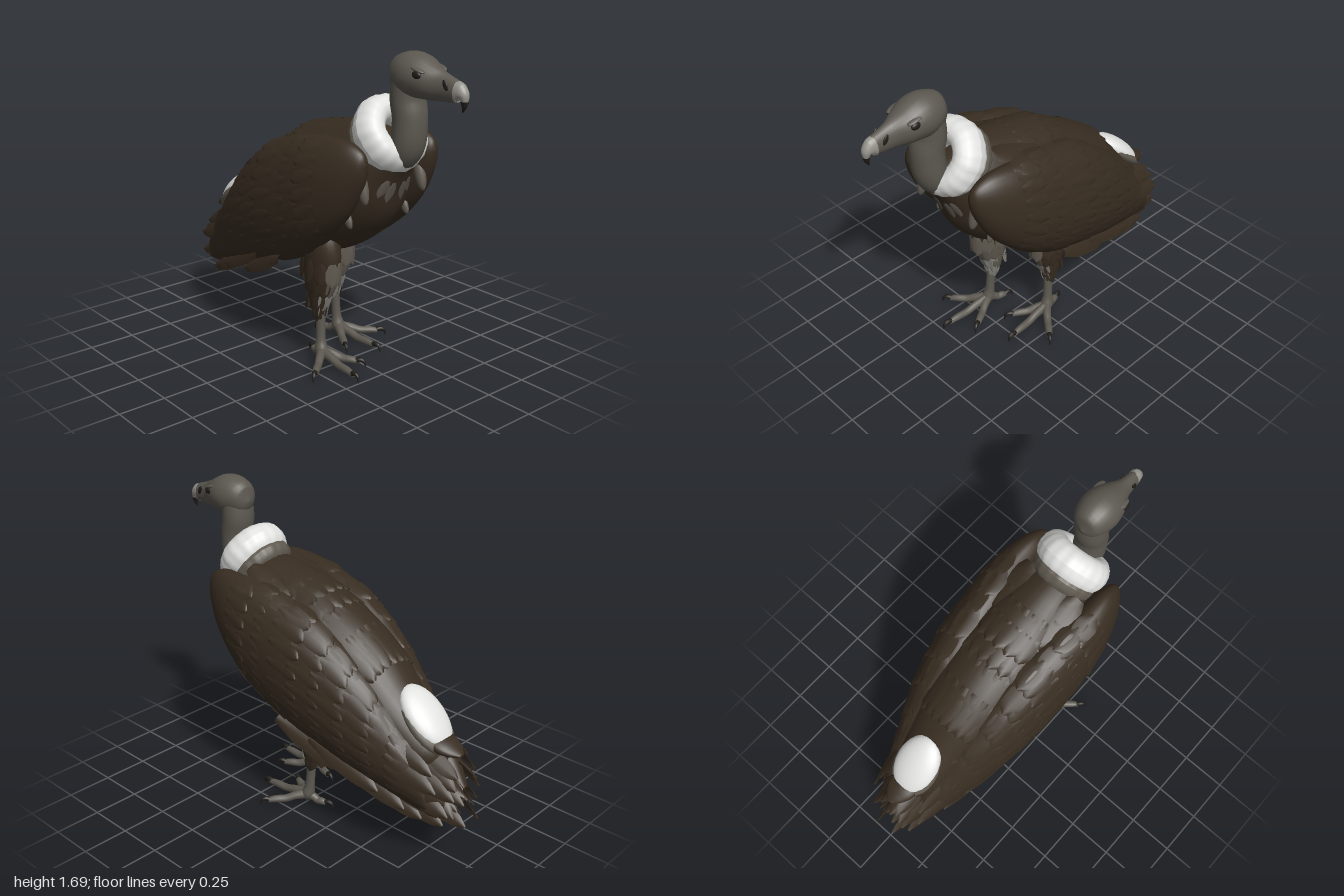
import * as THREE from 'three';
import { mergeGeometries } from 'three/addons/utils/BufferGeometryUtils.js';

const V = (x, y, z) => new THREE.Vector3(x, y, z);
const mat = (name, color) => new THREE.MeshStandardMaterial({ name, color, side: THREE.DoubleSide });
const X = V(1, 0, 0), Y = V(0, 1, 0);

// Smooth interpolation through stations [x, y, z, radiusS, radiusN]
function sample(st, u) {
  const n = st.length - 1, f = THREE.MathUtils.clamp(u, 0, 1) * n;
  const i = Math.min(Math.floor(f), n - 1), t = f - i;
  const [a, b, c, d] = [st[Math.max(i - 1, 0)], st[i], st[i + 1], st[Math.min(i + 2, n)]];
  return b.map((p, k) => p + 0.5 * t * (c[k] - a[k] + t * (2 * a[k] - 5 * p + 4 * c[k] - d[k] + t * (3 * (p - c[k]) + d[k] - a[k]))));
}

// Point on the skin of a lofted part; fixedT keeps all sections parallel
function skin(st, u, ang, { ref = X, fixedT } = {}) {
  const c = sample(st, u), a = sample(st, u - 0.01), b = sample(st, u + 0.01);
  const T = fixedT || V(b[0] - a[0], b[1] - a[1], b[2] - a[2]).normalize();
  const S = ref.clone().addScaledVector(T, -ref.dot(T)).normalize();
  const N = T.clone().cross(S);
  return V(c[0], c[1], c[2])
    .addScaledVector(S, Math.cos(ang) * Math.max(c[3], 0.001))
    .addScaledVector(N, Math.sin(ang) * Math.max(c[4], 0.001));
}

function loft(st, opts = {}, rows = 24, seg = 24) {
  const pos = [], idx = [];
  for (let i = 0; i <= rows; i++)
    for (let j = 0; j < seg; j++) pos.push(...skin(st, i / rows, (j / seg) * Math.PI * 2, opts).toArray());
  for (let i = 0; i < rows; i++)
    for (let j = 0; j < seg; j++) {
      const k = (j + 1) % seg, a = i * seg + j, b = i * seg + k;
      idx.push(a, b, a + seg, b, b + seg, a + seg);
    }
  const g = new THREE.BufferGeometry();
  g.setAttribute('position', new THREE.Float32BufferAttribute(pos, 3));
  g.setIndex(idx);
  g.computeVertexNormals();
  return g;
}

// Slightly arched, round-tipped blade lying between base and tip
function feather(base, tip, width, normal) {
  const g = new THREE.PlaneGeometry(1, 1, 4, 9).rotateX(-Math.PI / 2);
  const p = g.attributes.position;
  for (let i = 0; i < p.count; i++) {
    const t = 0.5 - p.getZ(i), x = p.getX(i);
    const w = Math.min(1, 0.45 + t * 1.6) * (1 - 0.85 * t ** 7);
    p.setXYZ(i, -x * w, -0.4 * x * x, t);
  }
  const d = tip.clone().sub(base), len = d.length(), z = d.normalize();
  const x = normal.clone().cross(z).normalize(), y = z.clone().cross(x);
  g.applyMatrix4(new THREE.Matrix4().makeBasis(x.multiplyScalar(width), y.multiplyScalar(width), z.multiplyScalar(len)).setPosition(base));
  g.computeVertexNormals();
  return g;
}

// Feather resting on a lofted part
function featherOn(st, u, ang, len, width, lift, opts) {
  const p = skin(st, u, ang, opts);
  const dir = skin(st, u + 0.02, ang, opts).sub(p).normalize();
  const n = skin(st, u, ang + 0.03, opts).sub(p).cross(dir).normalize();
  p.addScaledVector(n, 0.003);
  return feather(p, p.clone().addScaledVector(dir, len).addScaledVector(n, lift), width, n);
}

export function createModel() {
  const brown = mat('brown plumage', 0x382d21), grey = mat('grey skin', 0x5c5850), white = mat('white down', 0xe2e2e0);
  const pale = mat('pale grey feathers', 0x85827c), mid = mat('dull grey feathers', 0x5f594f);
  const dark = mat('dark horn', 0x211d19), horn = mat('pale horn', 0x95938b);
  const model = new THREE.Group();
  const add = (name, geo, m) => {
    const mesh = new THREE.Mesh(geo, m);
    mesh.name = name;
    model.add(mesh);
    return mesh;
  };
  const blob = (name, m, c, r, rx = 0) => {
    const mesh = add(name, new THREE.SphereGeometry(1, 24, 16), m);
    mesh.position.set(...c);
    mesh.scale.set(...r);
    mesh.rotation.x = rx;
  };

  // Body, with rows of feathers down the back and grey ones on the breast
  const body = [[0, 1.2, 0.6, 0.09, 0.08], [0, 1.14, 0.45, 0.19, 0.22], [0, 1.02, 0.26, 0.25, 0.315], [0, 0.91, 0.03, 0.28, 0.335],
    [0, 0.81, -0.25, 0.26, 0.29], [0, 0.69, -0.5, 0.2, 0.19], [0, 0.56, -0.75, 0.12, 0.09], [0, 0.53, -0.82, 0.001, 0.001]];
  add('body', loft(body, {}, 32, 32), brown);
  const back = [];
  for (let r = 0; r < 5; r++)
    for (let k = -3; k <= 3; k++)
      back.push(featherOn(body, 0.24 + r * 0.075, -Math.PI / 2 + (k + (r % 2) * 0.5) * 0.24, 0.25, 0.14, -0.016));
  add('backFeathers', mergeGeometries(back), brown);
  add('breastFeathers', mergeGeometries([-0.55, -0.25, 0.25, 0.55].map((a) =>
    featherOn(body, 0.06, Math.PI / 2 + a, 0.13 - Math.abs(a) * 0.05, 0.05, 0.004))), mid);

  // Neck, head and beak
  add('neck', loft([[0, 1.13, 0.56, 0.06, 0.05], [0, 1.24, 0.635, 0.085, 0.08], [0, 1.38, 0.65, 0.086, 0.083],
    [0, 1.48, 0.635, 0.09, 0.083], [0, 1.6, 0.645, 0.09, 0.08]]), grey);
  add('head', loft([[0, 1.58, 0.545, 0.001, 0.001], [0, 1.58, 0.57, 0.065, 0.075], [0, 1.59, 0.63, 0.098, 0.103], [0, 1.592, 0.7, 0.106, 0.107],
    [0, 1.575, 0.78, 0.085, 0.088], [0, 1.562, 0.85, 0.047, 0.07], [0, 1.553, 0.93, 0.034, 0.053], [0, 1.55, 0.955, 0.031, 0.046]]), grey);
  add('beak', loft([[0, 1.552, 0.94, 0.035, 0.051], [0, 1.55, 0.96, 0.032, 0.044], [0, 1.537, 0.98, 0.026, 0.026],
    [0, 1.505, 0.987, 0.014, 0.013]]), horn);
  add('beakHook', loft([[0, 1.515, 0.985, 0.02, 0.018], [0, 1.49, 0.984, 0.012, 0.012], [0, 1.462, 0.975, 0.001, 0.001]], {}, 8, 12), dark);

  // Downy ruff around the neck base, with a dull band behind it
  const ruff = (name, m, y, z, R, r, depth) => {
    const g = new THREE.TorusGeometry(R, r, 16, 80), p = g.attributes.position;
    for (let i = 0; i < p.count; i++) {
      const a = Math.atan2(p.getY(i), p.getX(i)), k = 1 + 0.009 * Math.sin(a * 19) + 0.01 * Math.sin(a * 7);
      p.setXYZ(i, p.getX(i) * k, p.getY(i) * k, p.getZ(i) * depth);
    }
    g.computeVertexNormals();
    const mesh = add(name, g, m);
    mesh.position.set(0, y, z);
    mesh.rotation.x = -0.58;
  };
  ruff('ruff', white, 1.288, 0.52, 0.126, 0.072, 1.25);
  ruff('ruffBand', mid, 1.24, 0.45, 0.112, 0.064, 1);

  // White rump patch and tail fan
  blob('rump', white, [0, 0.747, -0.69], [0.12, 0.064, 0.185], -0.75);
  blob('rumpRim', mid, [0, 0.724, -0.7], [0.128, 0.05, 0.19], -0.75);
  add('tailCoverts', loft([[0, 0.69, -0.66, 0.08, 0.04], [0, 0.645, -0.8, 0.085, 0.04], [0, 0.625, -0.87, 0.06, 0.026], [0, 0.615, -0.915, 0.02, 0.008]]), brown);
  const tail = [];
  for (let i = -3; i <= 3; i++) {
    const a = Math.abs(i);
    if (a > 1) tail.push(feather(V(0.03 * i, 0.7 - 0.025 * a, -0.62), V(0.03 * i, 0.62 - 0.05 * a, -0.91 - 0.015 * a), 0.09, V(i * 0.4, 1, -0.3)));
    tail.push(feather(V(0.03 * i, 0.58, -0.6), V(0.03 * i, 0.4 - 0.03 * a, -0.95), 0.09, V(i * 0.3, 1, 0)));
    tail.push(feather(V(0.02 * i, 0.5, -0.45), V(0.025 * i, 0.235 + 0.02 * a, -0.87), 0.1, V(i * 0.2, 1, 0)));
  }
  add('tailFeathers', mergeGeometries(tail), brown);

  for (const s of [1, -1]) {
    const side = s > 0 ? 'left' : 'right';

    // Face details
    blob(side + 'Eye', dark, [s * 0.086, 1.612, 0.768], [0.012, 0.018, 0.026]);
    blob(side + 'Brow', grey, [s * 0.072, 1.634, 0.76], [0.02, 0.01, 0.045], 0.25);
    blob(side + 'Nostril', dark, [s * 0.037, 1.578, 0.9], [0.006, 0.026, 0.013], -0.5);

    // Folded wing from [z, top, bottom, outer x, inner x]
    const wing = [[0.6, 1.181, 1.179, 0.231, 0.229], [0.575, 1.24, 1.07, 0.275, 0.19], [0.48, 1.28, 0.9, 0.33, 0.15], [0.33, 1.275, 0.75, 0.37, 0.12],
      [0.13, 1.245, 0.61, 0.38, 0.07], [-0.1, 1.17, 0.52, 0.372, 0.04], [-0.35, 1.0, 0.44, 0.33, 0.03], [-0.6, 0.75, 0.36, 0.25, 0.03],
      [-0.78, 0.55, 0.31, 0.18, 0.03], [-0.9, 0.4, 0.32, 0.1, 0.04]]
      .map(([z, t, b, o, i]) => [s * (o + i) / 2, (t + b) / 2, z, (o - i) / 2, (t - b) / 2]);
    const opts = { fixedT: V(0, 0, -1) };
    add(side + 'Wing', loft(wing, opts, 45, 32), brown);
    const coverts = [];
    for (let r = 0; r < 9; r++)
      for (let k = 0; k < 9; k++) {
        const a = -1.35 + (k + (r % 2) * 0.5) * 0.34;
        coverts.push(featherOn(wing, 0.31 + r * 0.06, s > 0 ? -a : Math.PI + a, 0.16 + r * 0.012, 0.115, -0.006, opts));
      }
    add(side + 'WingCoverts', mergeGeometries(coverts), brown);

    // Shoulder feathers bridging the back and the wing
    const bridge = [[1.325, 0.37], [1.285, 0.22], [1.235, 0.06], [1.16, -0.1], [1.07, -0.24], [0.96, -0.38], [0.8, -0.58]];
    add(side + 'ShoulderFeathers', mergeGeometries(bridge.slice(0, -2).map(([y, z], i) =>
      feather(V(s * 0.15, y - 0.015, z), V(s * 0.14, bridge[i + 2][0] - 0.01, bridge[i + 2][1]), 0.2, V(s * 0.3, 1, -0.3)))), brown);

    // Long flight feathers ending in a ragged tip
    const tips = [[0.06, 0.27, -1], [0.13, 0.33, -0.94], [0.04, 0.37, -0.97], [0.11, 0.42, -0.96], [0.08, 0.23, -0.88], [0.15, 0.27, -0.8],
      [0.17, 0.46, -0.89], [0.15, 0.54, -0.85], [0.19, 0.31, -0.72], [0.23, 0.37, -0.58], [0.25, 0.41, -0.36]];
    add(side + 'FlightFeathers', mergeGeometries(tips.map(([x, y, z]) =>
      feather(V(s * (x + 0.07), y + 0.18, z + 0.4), V(s * x, y, z), 0.1, V(s * 0.85, 0.45, -0.1)))), brown);
    blob(side + 'ShoulderTuft', mid, [s * 0.192, 1.065, 0.535], [0.028, 0.095, 0.03], -0.3);
    blob(side + 'BreastTuft', mid, [s * 0.19, 0.88, 0.428], [0.018, 0.06, 0.025], -0.5);

    // Thigh: grey in front and inside, brown outside
    const z0 = s > 0 ? -0.02 : 0.17, x0 = s * 0.13;
    const thigh = [[x0, 0.8, z0, 0.03, 0.04], [x0, 0.69, z0, 0.075, 0.105], [x0, 0.57, z0 - 0.01, 0.08, 0.125], [x0, 0.43, z0 - 0.02, 0.056, 0.085],
      [x0, 0.33, z0 - 0.02, 0.037, 0.045], [x0, 0.28, z0 - 0.015, 0.02, 0.02]];
    add(side + 'Thigh', loft(thigh), brown);
    const tufts = { brown: [], pale: [], mid: [] };
    for (let r = 0; r < 4; r++)
      for (let k = 0; k < 10; k++) {
        const ang = (k + (r % 2) * 0.5) * Math.PI / 5;
        const inner = -s * Math.cos(ang), front = Math.sin(ang);
        const tone = front + inner * 0.5 > 0.6 ? (r > 1 ? 'pale' : 'mid') : inner > 0.5 ? (r > 2 ? 'pale' : 'mid') : 'brown';
        tufts[tone].push(featherOn(thigh, 0.36 + r * 0.125, ang, 0.13, 0.07, 0.008));
      }
    for (const k of [-1, 0, 1])
      tufts[k * s < 0 ? 'pale' : 'brown'].push(feather(V(x0 + k * 0.03, 0.5, z0 - 0.08), V(x0 + k * 0.025, 0.28, z0 - 0.11), 0.07, V(k, 0.2, -0.6)));
    add(side + 'ThighFeathers', mergeGeometries(tufts.brown), brown);
    add(side + 'ThighPaleFeathers', mergeGeometries(tufts.pale), pale);
    add(side + 'ThighDullFeathers', mergeGeometries(tufts.mid), mid);

    // Shank
    add(side + 'Shank', loft([[x0, 0.36, z0 - 0.02, 0.032, 0.036], [s * 0.132, 0.24, z0 - 0.012, 0.024, 0.027], [s * 0.136, 0.13, z0 - 0.005, 0.025, 0.027],
      [s * 0.14, 0.07, z0 + 0.005, 0.035, 0.035], [s * 0.14, 0.03, z0 + 0.01, 0.015, 0.015]]), grey);

    // Toes with curved claws: [sideways, forward]
    const toes = [], claws = [];
    for (const [dx, dz] of [[0.02, 0.27], [0.165, 0.14], [-0.1, 0.17], [-0.03, -0.11]]) {
      const at = (t, y, r) => [s * (0.14 + dx * t), y, z0 + 0.01 + dz * t, r, r];
      const e = 1 / Math.hypot(dx, dz);
      toes.push(loft([at(0, 0.065, 0.03), at(0.3, 0.058, 0.023), at(0.55, 0.042, 0.021), at(0.8, 0.042, 0.02), at(1, 0.038, 0.015)], { ref: Y }, 14, 12));
      claws.push(loft([at(1 - 0.01 * e, 0.04, 0.015), at(1 + 0.018 * e, 0.05, 0.012), at(1 + 0.038 * e, 0.038, 0.008), at(1 + 0.046 * e, 0.008, 0.001)],
        { ref: V(dz, 0, -s * dx).normalize() }, 10, 10));
    }
    add(side + 'Toes', mergeGeometries(toes), grey);
    add(side + 'Claws', mergeGeometries(claws), dark);
  }
  return model;
}
